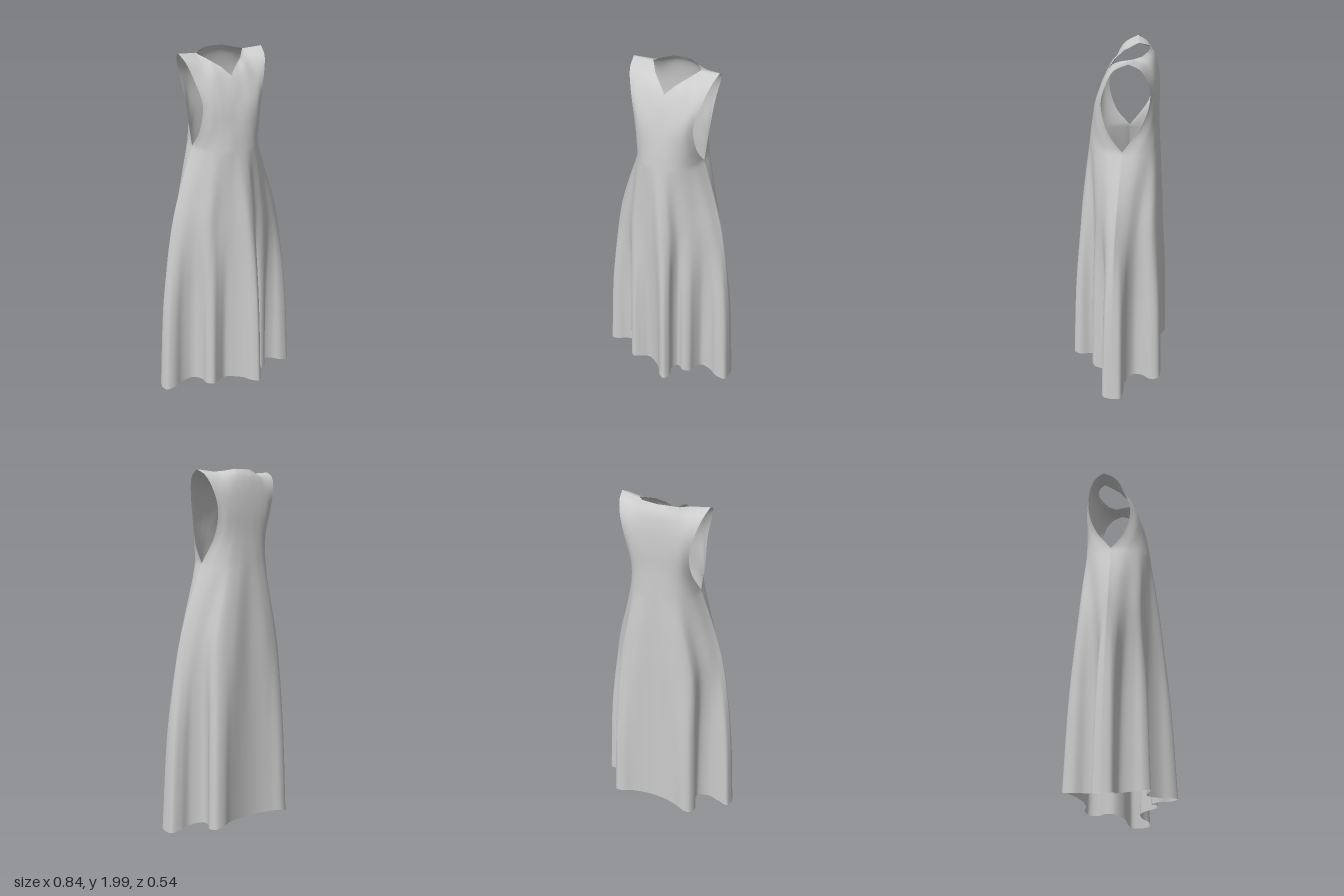
import * as THREE from 'three';
import { mergeVertices } from 'three/addons/utils/BufferGeometryUtils.js';

const COLS = 120, BODICE_ROWS = 30, SKIRT_ROWS = 56;
const V = (p) => new THREE.Vector3(...p);

// Half rows of the bodice [x, y, z], from armhole edge to centre, neckline first and waist last
const frontRows = [
  [[.24, 1.995, -.07], [.135, 1.985, -.085], [.085, 1.955, -.01], [.04, 1.925, .03], [0, 1.885, .06]],
  [[.226, 1.955, 0], [.14, 1.94, 0], [.09, 1.915, .038], [.045, 1.89, .055], [0, 1.86, .073]],
  [[.203, 1.88, .042], [.15, 1.865, .058], [.1, 1.85, .075], [.05, 1.83, .085], [0, 1.81, .095]],
  [[.17, 1.75, .076], [.135, 1.74, .105], [.09, 1.73, .118], [.045, 1.72, .122], [0, 1.71, .123]],
  [[.175, 1.6, .04], [.145, 1.6, .095], [.1, 1.6, .127], [.05, 1.6, .142], [0, 1.6, .145]],
  [[.187, 1.5, -.035], [.165, 1.5, .055], [.12, 1.5, .12], [.06, 1.5, .152], [0, 1.5, .158]],
];
const backRows = [
  [[.24, 1.995, -.07], [.135, 1.985, -.085], [.1, 1.99, -.125], [.05, 2, -.15], [0, 2, -.157]],
  [[.228, 1.965, -.125], [.142, 1.965, -.14], [.1, 1.96, -.165], [.05, 1.965, -.177], [0, 1.965, -.18]],
  [[.207, 1.9, -.163], [.15, 1.9, -.178], [.1, 1.9, -.19], [.05, 1.9, -.196], [0, 1.9, -.198]],
  [[.178, 1.79, -.175], [.14, 1.79, -.195], [.1, 1.79, -.203], [.05, 1.79, -.207], [0, 1.79, -.208]],
  [[.17, 1.65, -.135], [.14, 1.65, -.18], [.1, 1.65, -.2], [.05, 1.65, -.208], [0, 1.65, -.21]],
  [[.187, 1.5, -.035], [.175, 1.5, -.13], [.13, 1.5, -.19], [.065, 1.5, -.212], [0, 1.5, -.215]],
];

// Soft outline at hip height [x, z]: front runs from left to right, back returns
const frontHip = [
  [.325, -.01], [.29, .035], [.23, .07], [.175, .11], [.115, .132], [.085, .19], [.045, .21],
  [-.03, .165], [-.1, .14], [-.165, .13], [-.22, .07], [-.285, .025], [-.325, -.02],
];
const backHip = [
  [-.325, -.02], [-.285, -.07], [-.232, -.125], [-.21, -.205], [-.125, -.235], [0, -.222],
  [.125, -.235], [.215, -.205], [.237, -.125], [.285, -.07], [.325, -.01],
];

// Deeply folded hem outline, same direction
const frontHem = [
  [.415, 0], [.405, .05], [.35, .06], [.3, .035], [.24, .035], [.215, .08], [.2, .13], [.165, .147],
  [.12, .12], [.095, .16], [.115, .23], [.09, .27], [.055, .25], [.02, .195], [-.03, .155], [-.075, .135],
  [-.12, .155], [-.165, .175], [-.195, .145], [-.2, .09], [-.235, .03], [-.3, .02], [-.36, .04],
  [-.405, .03], [-.42, -.02],
];
const backHem = [
  [-.42, -.02], [-.405, -.065], [-.345, -.062], [-.28, -.06], [-.225, -.1], [-.225, -.15], [-.255, -.205],
  [-.24, -.26], [-.2, -.272], [-.14, -.25], [-.07, -.232], [0, -.227], [.07, -.232], [.15, -.25],
  [.21, -.272], [.26, -.262], [.27, -.215], [.24, -.16], [.24, -.11], [.3, -.065], [.36, -.065],
  [.41, -.05], [.415, 0],
];

const outline = (pts, y) => new THREE.CatmullRomCurve3(pts.map(([x, z]) => new THREE.Vector3(x, y, z)));

// Full row from a half row; the neckline keeps its corners, the others are smooth
function rowCurve(half, side, sharp) {
  const mirrored = half.slice(0, -1).reverse().map(([x, y, z]) => [-x, y, z]);
  const pts = [...half, ...mirrored].map(V);
  if (side < 0) pts.reverse();
  if (!sharp) return new THREE.CatmullRomCurve3(pts);
  return {
    getPoint(u) {
      const f = u * (pts.length - 1), i = Math.min(Math.floor(f), pts.length - 2);
      return pts[i].clone().lerp(pts[i + 1], f - i);
    },
  };
}

// One column of cloth: splined bodice, then a skirt through hip and hem
function column(rows, hipCurve, hemCurve, u) {
  const body = rows.map((r) => r.getPoint(u));
  const waist = body[body.length - 1];
  const hip = hipCurve.getPoint(u), hem = hemCurve.getPoint(u);
  hem.y = .065 + .08 * Math.abs(hem.z) - .23 * Math.max(0, Math.abs(hem.x) - .18);
  const thigh = waist.clone().lerp(hip, .55).setY(1.28);
  const knee = hip.clone().lerp(hem, .64).setY(.6);
  const skirt = new THREE.CatmullRomCurve3([waist, thigh, hip, knee, hem]);
  return [
    ...new THREE.CatmullRomCurve3(body).getPoints(BODICE_ROWS),
    ...skirt.getPoints(SKIRT_ROWS).slice(1),
  ];
}

function dressGeometry() {
  const positions = [], index = [];
  const panels = [[frontRows, frontHip, frontHem, 1], [backRows, backHip, backHem, -1]];
  const n = BODICE_ROWS + SKIRT_ROWS + 1;
  panels.forEach(([halfRows, hipPts, hemPts, side], p) => {
    const rows = halfRows.map((h, i) => rowCurve(h, side, i === 0));
    const hip = outline(hipPts, 1.05), hem = outline(hemPts, 0);
    const base = p * (COLS + 1) * n;
    for (let i = 0; i <= COLS; i++) {
      for (const v of column(rows, hip, hem, i / COLS)) positions.push(v.x, v.y, v.z);
      if (i === COLS) continue;
      for (let j = 0; j < n - 1; j++) {
        const a = base + i * n + j, b = a + n;
        index.push(a, b, a + 1, b, b + 1, a + 1);
      }
    }
  });
  const g = new THREE.BufferGeometry();
  g.setAttribute('position', new THREE.Float32BufferAttribute(positions, 3));
  g.setIndex(index);
  // Weld side and shoulder seams so shading runs across them
  const welded = mergeVertices(g, 1e-4);
  welded.computeVertexNormals();
  return welded;
}

export function createModel() {
  const group = new THREE.Group();
  group.name = 'sleevelessDress';
  const cloth = new THREE.MeshStandardMaterial({ color: 0xcccccc, side: THREE.DoubleSide });
  const dress = new THREE.Mesh(dressGeometry(), cloth);
  dress.name = 'dressCloth';
  group.add(dress);
  return group;
}
